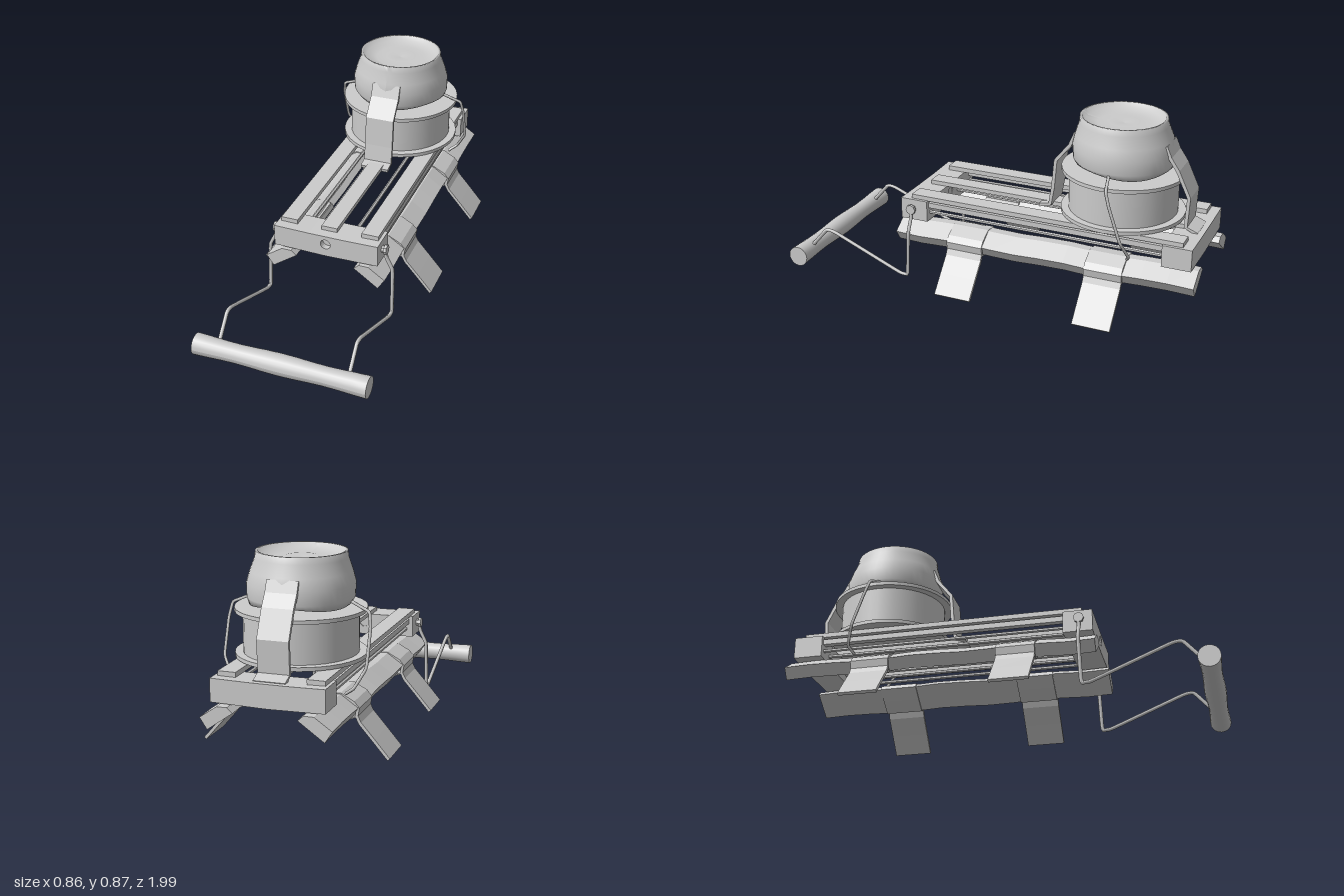
import * as THREE from 'three';

export function createModel() {
  const model = new THREE.Group();
  const flat = new THREE.MeshStandardMaterial({ color: 0xcccccc, flatShading: true, side: THREE.DoubleSide });
  const smooth = new THREE.MeshStandardMaterial({ color: 0xcccccc, side: THREE.DoubleSide });
  const POT_Z = -0.578;

  const add = (name, geo, mat = flat, x = 0, y = 0, z = 0) => {
    const m = new THREE.Mesh(geo, mat);
    m.name = name;
    m.position.set(x, y, z);
    model.add(m);
    return m;
  };
  // Box given by its extents on each axis
  const box = (name, x0, x1, y0, y1, z0, z1) =>
    add(name, new THREE.BoxGeometry(x1 - x0, y1 - y0, z1 - z0), flat, (x0 + x1) / 2, (y0 + y1) / 2, (z0 + z1) / 2);
  // Polygon [x, y] extruded along z from z0 to z1
  const prism = (name, pts, z0, z1, segs = 1) => {
    const shape = new THREE.Shape(pts.map(p => new THREE.Vector2(...p)));
    const geo = new THREE.ExtrudeGeometry(shape, { depth: z1 - z0, bevelEnabled: false, steps: segs });
    return add(name, geo.translate(0, 0, z0));
  };
  // Bent wire with tight corners
  const wire = (name, pts, r) => {
    const path = new THREE.CurvePath();
    const v = pts.map(p => new THREE.Vector3(...p));
    let from = v[0];
    for (let i = 1; i < v.length - 1; i++) {
      const a = v[i].clone().lerp(v[i - 1], 0.15), b = v[i].clone().lerp(v[i + 1], 0.15);
      path.add(new THREE.LineCurve3(from, a));
      path.add(new THREE.QuadraticBezierCurve3(a, v[i], b));
      from = b;
    }
    path.add(new THREE.LineCurve3(from, v[v.length - 1]));
    return add(name, new THREE.TubeGeometry(path, 90, r, 6), smooth);
  };
  // Thin band: offsets a polyline [a, b] sideways by t to get a closed outline
  const band = (pts, t) => {
    const off = pts.map((p, i) => {
      const a = pts[Math.max(i - 1, 0)], b = pts[Math.min(i + 1, pts.length - 1)];
      const dx = b[0] - a[0], dy = b[1] - a[1], l = Math.hypot(dx, dy);
      return [p[0] - dy / l * t, p[1] + dx / l * t];
    });
    return [...pts, ...off.reverse()];
  };

  // Crossbars, the front one with a bored hole
  const face = new THREE.Shape([[-0.25, 0.298], [0, 0.293], [0.25, 0.298], [0.25, 0.4], [0.08, 0.397], [-0.08, 0.397], [-0.25, 0.4]]
    .map(p => new THREE.Vector2(...p)));
  const bar = holed => {
    const s = face.clone();
    if (holed) s.holes.push(new THREE.Path().absarc(0, 0.355, 0.024, 0, Math.PI * 2, true));
    return new THREE.ExtrudeGeometry(s, { depth: 0.135, bevelEnabled: false, curveSegments: 8 });
  };
  add('frontCrossbar', bar(true), flat, 0, 0, 0.305);
  add('boreBottom', new THREE.CylinderGeometry(0.025, 0.025, 0.1, 8).rotateX(Math.PI / 2), flat, 0, 0.355, 0.36);
  add('backCrossbar', bar(false), flat, 0, 0, -0.975);

  // Deck slats
  box('centreSlat', -0.038, 0.038, 0.397, 0.417, -0.9, 0.39);
  for (const s of [-1, 1]) {
    const side = s < 0 ? 'right' : 'left';
    const mir = pts => pts.map(([x, ...rest]) => [x * s, ...rest]);
    box(side + 'Slat', s * 0.195 - 0.04, s * 0.195 + 0.04, 0.398, 0.42, -0.93, 0.39);
    box(side + 'SideRail', s * 0.217 - 0.015, s * 0.217 + 0.015, 0.363, 0.388, -0.86, 0.32);
    // Long rods between the crossbars
    for (const x of [0.08, 0.148, 0.215])
      add(side + 'Rod', new THREE.CylinderGeometry(0.009, 0.009, 1.18, 6).rotateX(Math.PI / 2), flat, s * x, 0.336, -0.27);

    // Slanted runner with slightly uneven edges
    const runner = prism(side + 'Runner',
      mir([[0.14, 0.268], [0.255, 0.187], [0.288, 0.237], [0.21, 0.29], [0.165, 0.29]]), -1, 0.452, 12);
    const p = runner.geometry.attributes.position;
    for (let i = 0; i < p.count; i++) {
      const z = p.getZ(i);
      if (z > -0.98 && z < 0.43) p.setY(i, p.getY(i) + 0.004 * Math.sin(z * 13));
    }
    runner.geometry.computeVertexNormals();

    // Straps wrapped round the runner with a hanging flap
    for (const z of [0.005, -0.675]) {
      prism(side + 'StrapFlap', band(mir([[0.15, 0.288], [0.21, 0.294], [0.27, 0.262], [0.293, 0.235],
        [0.287, 0.2], [0.3, 0.173], [0.36, 0.105], [0.428, 0.026]]), -s * 0.014), z, z + 0.178);
      prism(side + 'StrapWrap', band(mir([[0.145, 0.285], [0.135, 0.265], [0.19, 0.222], [0.25, 0.18], [0.285, 0.195]]), s * 0.006), z, z + 0.178);
    }

    // Pegs that hold the handle wire
    for (const [x, r] of [[0.257, 0.017], [0.269, 0.024]])
      add(side + 'Peg', new THREE.CylinderGeometry(r, r, 0.013, 8).rotateZ(Math.PI / 2), flat, s * x, 0.355, 0.38);
    wire(side + 'HandleWire', mir([[0.263, 0.355, 0.38], [0.272, 0.31, 0.38], [0.302, 0.25, 0.38], [0.304, 0.025, 0.39],
      [0.304, 0.028, 0.43], [0.304, 0.19, 0.825], [0.304, 0.07, 0.93]]), 0.009);
    // Tie from the pot down to the frame
    wire(side + 'PotTie', mir([[0.225, 0.668, POT_Z], [0.31, 0.633, -0.595], [0.321, 0.57, -0.615], [0.321, 0.41, -0.67],
      [0.275, 0.325, -0.7], [0.235, 0.295, -0.68]]), 0.007);
  }

  // Pull handle, an uneven log
  const log = new THREE.CylinderGeometry(0.049, 0.049, 0.81, 20, 12);
  const lp = log.attributes.position;
  for (let i = 0; i < lp.count; i++) {
    const k = 0.95 + 0.06 * Math.cos(lp.getY(i) * 15);
    lp.setX(i, lp.getX(i) * k);
    lp.setZ(i, lp.getZ(i) * k);
  }
  log.rotateZ(Math.PI / 2).computeVertexNormals();
  add('pullHandle', log, smooth, -0.003, 0.055, 0.945);

  // Spool-shaped lower vessel
  const drum = (name, r, y0, y1) =>
    add(name, new THREE.CylinderGeometry(r, r, y1 - y0, 40), smooth, 0, (y0 + y1) / 2, POT_Z);
  drum('lowerFlange', 0.285, 0.423, 0.44);
  drum('lowerDrum', 0.25, 0.44, 0.62);
  drum('upperFlange', 0.285, 0.619, 0.636);
  drum('neck', 0.055, 0.63, 0.7);

  // Rounded upper pot with a dished top and ragged lower rim
  const profile = [[0, 0.7], [0.16, 0.69], [0.205, 0.67], [0.222, 0.65], [0.232, 0.68], [0.234, 0.74], [0.22, 0.79],
    [0.2, 0.845], [0.197, 0.874], [0.186, 0.874], [0.172, 0.853], [0.12, 0.843], [0.07, 0.848], [0, 0.84]];
  const pot = new THREE.LatheGeometry(profile.map(q => new THREE.Vector2(...q)), 48);
  const pp = pot.attributes.position;
  for (let i = 0; i < pp.count; i++) {
    const y = pp.getY(i);
    if (y < 0.66) pp.setY(i, y + 0.008 + 0.008 * Math.sin(3 * Math.atan2(pp.getZ(i), pp.getX(i))));
    // the top leans a little forward
    pp.setZ(i, pp.getZ(i) + 0.012 * (y - 0.65) / 0.22);
  }
  pot.computeVertexNormals();
  add('upperPot', pot, smooth, 0, 0, POT_Z);

  // Broad straps over the front and back of the pot, outlined in [z, y]
  const potStrap = (name, pts, t) => {
    const geo = new THREE.ExtrudeGeometry(new THREE.Shape(band(pts, t).map(q => new THREE.Vector2(...q))),
      { depth: 0.14, bevelEnabled: false });
    // turn so that outline z follows world z
    add(name, geo.translate(0, 0, -0.07).rotateY(-Math.PI / 2));
  };
  potStrap('frontPotStrap', [[-0.19, 0.41], [-0.238, 0.42], [-0.25, 0.5], [-0.262, 0.64], [-0.33, 0.725], [-0.355, 0.785]], 0.016);
  potStrap('backPotStrap', [[-0.95, 0.4], [-0.9, 0.42], [-0.907, 0.56], [-0.85, 0.68], [-0.812, 0.735], [-0.79, 0.785]], -0.016);
  return model;
}
